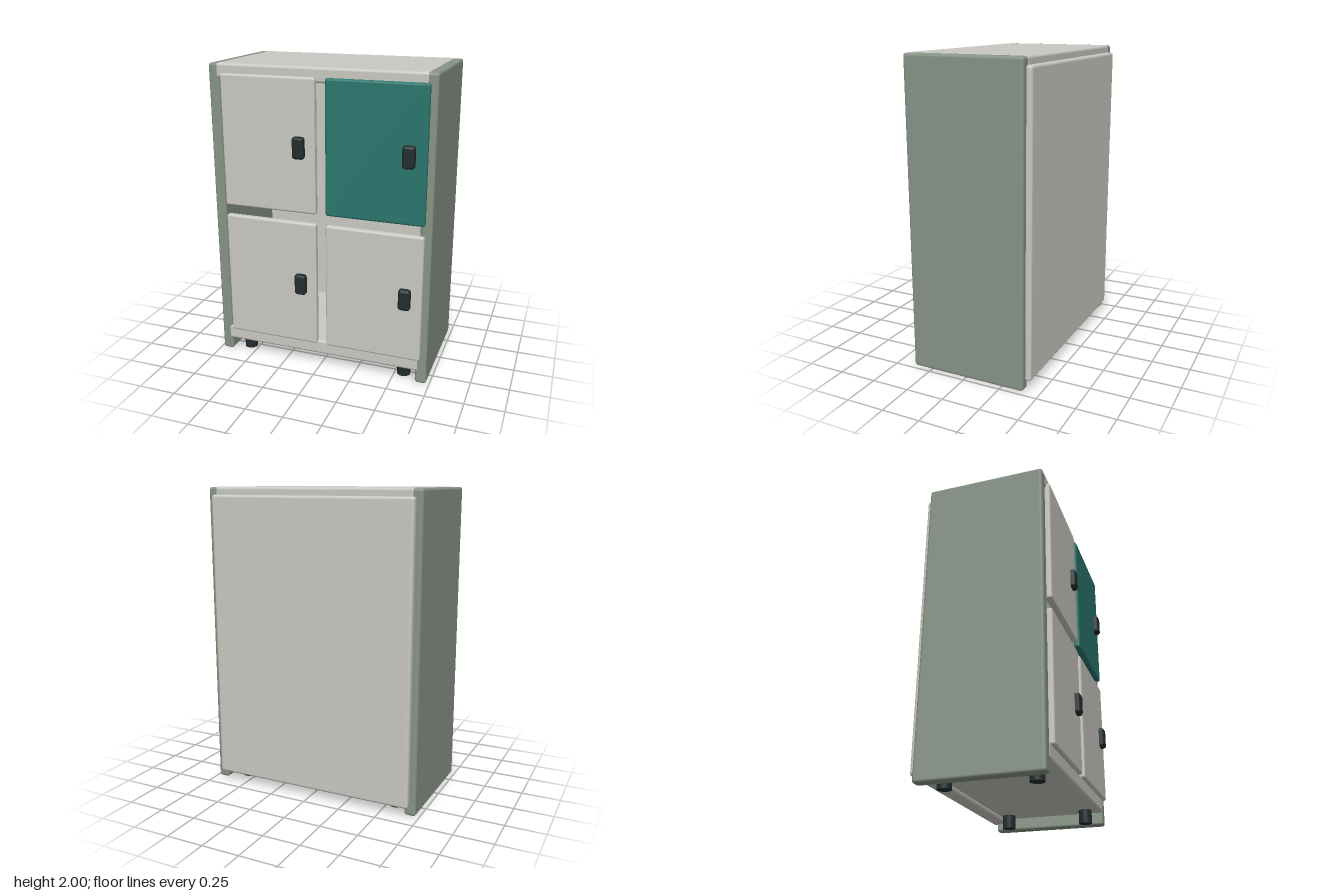
import * as THREE from 'three';
import { RoundedBoxGeometry } from 'three/addons/geometries/RoundedBoxGeometry.js';

const material = (name, color) => {
  const m = new THREE.MeshStandardMaterial({ color });
  m.name = name;
  return m;
};

export function createModel() {
  const lightPanel = material('lightPanel', 0xc9c8c2);
  const sageGrey = material('sageGrey', 0x879386);
  const teal = material('teal', 0x2a766d);
  const charcoal = material('charcoal', 0x222c2d);

  const cabinet = new THREE.Group();
  cabinet.name = 'cabinet';

  // Rounded slab given by its limits on each axis
  const slab = (name, mat, [x0, x1], [y0, y1], [z0, z1], radius) => {
    const geometry = new RoundedBoxGeometry(x1 - x0, y1 - y0, z1 - z0, 4, radius);
    const mesh = new THREE.Mesh(geometry, mat);
    mesh.position.set((x0 + x1) / 2, (y0 + y1) / 2, (z0 + z1) / 2);
    mesh.name = name;
    cabinet.add(mesh);
  };

  // Hollow carcass
  slab('leftSide', sageGrey, [0.655, 0.73], [0.005, 1.998], [-0.4, 0.375], 0.018);
  slab('rightSide', sageGrey, [-0.73, -0.655], [0.005, 1.998], [-0.4, 0.375], 0.018);
  slab('topPanel', lightPanel, [-0.68, 0.68], [1.905, 2], [-0.402, 0.377], 0.018);
  slab('bottomPanel', lightPanel, [-0.68, 0.68], [0.09, 0.19], [-0.4, 0.377], 0.018);
  slab('backPanel', lightPanel, [-0.69, 0.69], [0.06, 1.95], [-0.435, -0.335], 0.018);

  // Four doors, each with a pull handle
  const rows = [['lower', 0.175, 1.02, 0.6], ['upper', 1.085, 1.94, 1.51]];
  const columns = [['Right', -0.64, -0.01, -0.115], ['Left', 0.053, 0.688, 0.58]];
  for (const [row, y0, y1, handleY] of rows) {
    for (const [column, x0, x1, handleX] of columns) {
      const accent = row === 'upper' && column === 'Left';
      slab(`${row}${column}Door`, accent ? teal : lightPanel, [x0, x1], [y0, y1], [0.355, 0.4], 0.015);
      slab(`${row}${column}Handle`, charcoal, [handleX - 0.039, handleX + 0.039],
        [handleY - 0.07, handleY + 0.07], [0.38, 0.435], 0.02);
    }
  }

  // Short round feet
  const footGeometry = new THREE.CylinderGeometry(0.044, 0.044, 0.11, 32);
  for (const x of [-0.56, 0.56]) {
    for (const z of [-0.275, 0.275]) {
      const foot = new THREE.Mesh(footGeometry, charcoal);
      foot.position.set(x, 0.055, z);
      foot.name = `${z > 0 ? 'front' : 'back'}${x > 0 ? 'Left' : 'Right'}Foot`;
      cabinet.add(foot);
    }
  }
  return cabinet;
}
